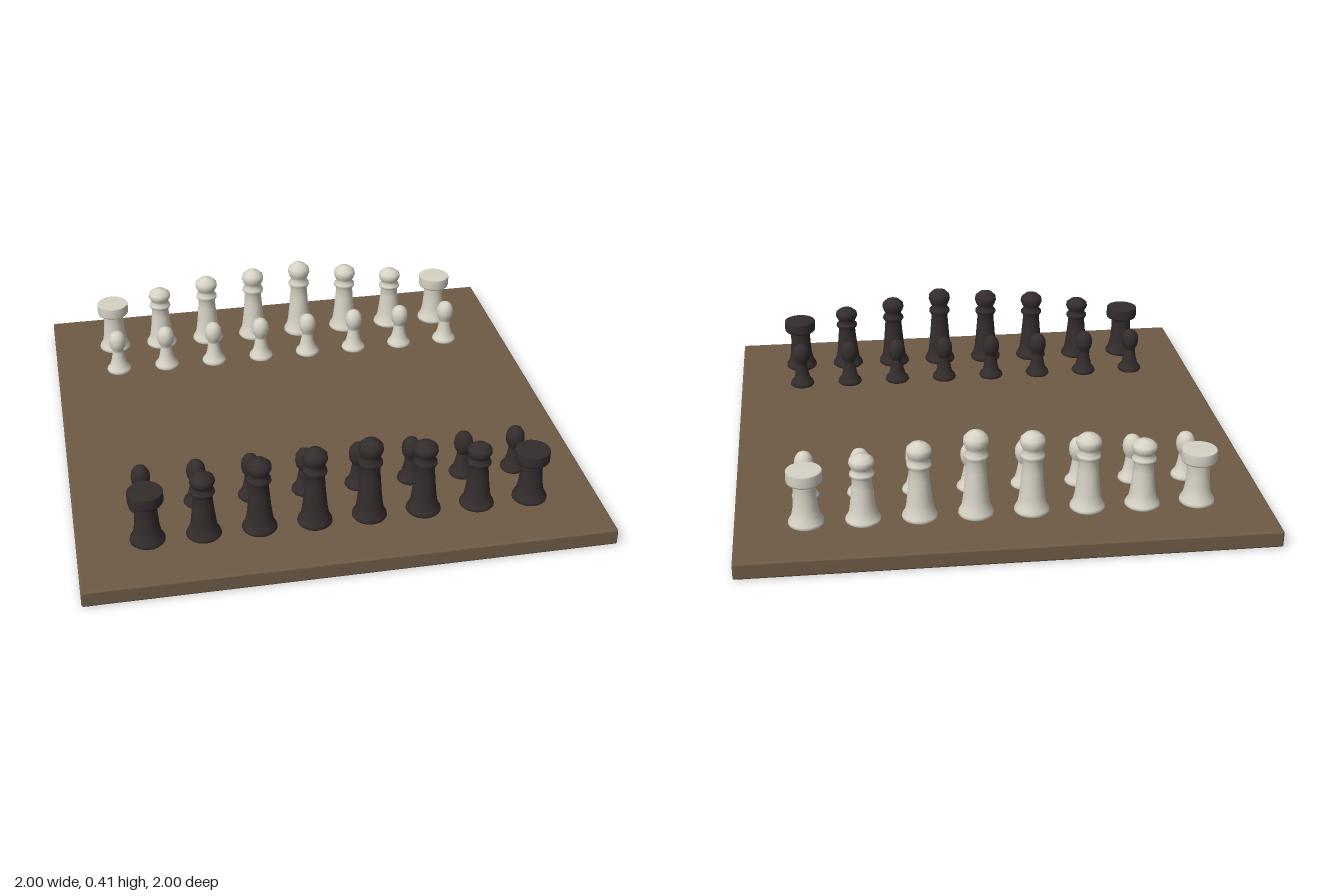
import * as THREE from 'three';
import { RoundedBoxGeometry } from 'three/addons/geometries/RoundedBoxGeometry.js';

const BOARD_TOP = 0.065;

// Solid turned from [radius, height] pairs, bottom to top
function turned(profile) {
  return new THREE.LatheGeometry(profile.map(([r, y]) => new THREE.Vector2(r, y)), 24);
}

export function createModel() {
  const wood = new THREE.MeshStandardMaterial({ name: 'brownWood', color: 0x6e5b46 });
  const dark = new THREE.MeshStandardMaterial({ name: 'darkPiece', color: 0x342c2d });
  const light = new THREE.MeshStandardMaterial({ name: 'lightPiece', color: 0xd6d2c5 });

  const group = new THREE.Group();
  group.name = 'chessSet';

  // Board
  const board = new THREE.Mesh(new RoundedBoxGeometry(2, BOARD_TOP, 2, 2, 0.008), wood);
  board.name = 'board';
  board.position.y = BOARD_TOP / 2;
  group.add(board);

  // Piece profiles, heights measured from the board top
  const rook = turned([
    [0, 0], [0.062, 0], [0.067, 0.005], [0.066, 0.015], [0.054, 0.035], [0.047, 0.07],
    [0.043, 0.12], [0.042, 0.16], [0.047, 0.168], [0.064, 0.174], [0.067, 0.18],
    [0.067, 0.218], [0.065, 0.221], [0, 0.221],
  ]);
  // Tall round-headed piece of unit height, stretched for each rank
  const tall = turned([
    [0, 0], [0.062, 0], [0.067, 0.02], [0.065, 0.05], [0.054, 0.11], [0.049, 0.2],
    [0.044, 0.34], [0.039, 0.52], [0.036, 0.64], [0.046, 0.69], [0.045, 0.72],
    [0.033, 0.76], [0.041, 0.81], [0.048, 0.865], [0.045, 0.92], [0.028, 0.97], [0, 1],
  ]);
  const pawn = turned([
    [0, 0], [0.048, 0], [0.052, 0.006], [0.049, 0.016], [0.036, 0.032], [0.029, 0.06],
    [0.023, 0.095], [0.024, 0.104], [0.033, 0.119], [0.037, 0.142], [0.034, 0.165],
    [0.023, 0.183], [0.01, 0.19], [0, 0.191],
  ]);

  const names = ['Rook', 'Knight', 'Bishop', 'Queen', 'King', 'Bishop', 'Knight', 'Rook'];
  const heights = { Knight: 0.275, Bishop: 0.312, Queen: 0.33, King: 0.347 };

  // Both armies, facing each other
  for (const [side, material, label] of [[1, dark, 'dark'], [-1, light, 'light']]) {
    const army = new THREE.Group();
    army.name = label + 'Army';
    names.forEach((name, i) => {
      const x = -0.735 + i * 0.21;
      const back = new THREE.Mesh(name === 'Rook' ? rook : tall, material);
      back.name = label + name;
      back.position.set(x, BOARD_TOP, side * 0.732);
      back.scale.y = heights[name] ?? 1;
      const front = new THREE.Mesh(pawn, material);
      front.name = label + 'Pawn';
      front.position.set(x, BOARD_TOP, side * 0.525);
      army.add(back, front);
    });
    group.add(army);
  }
  return group;
}
